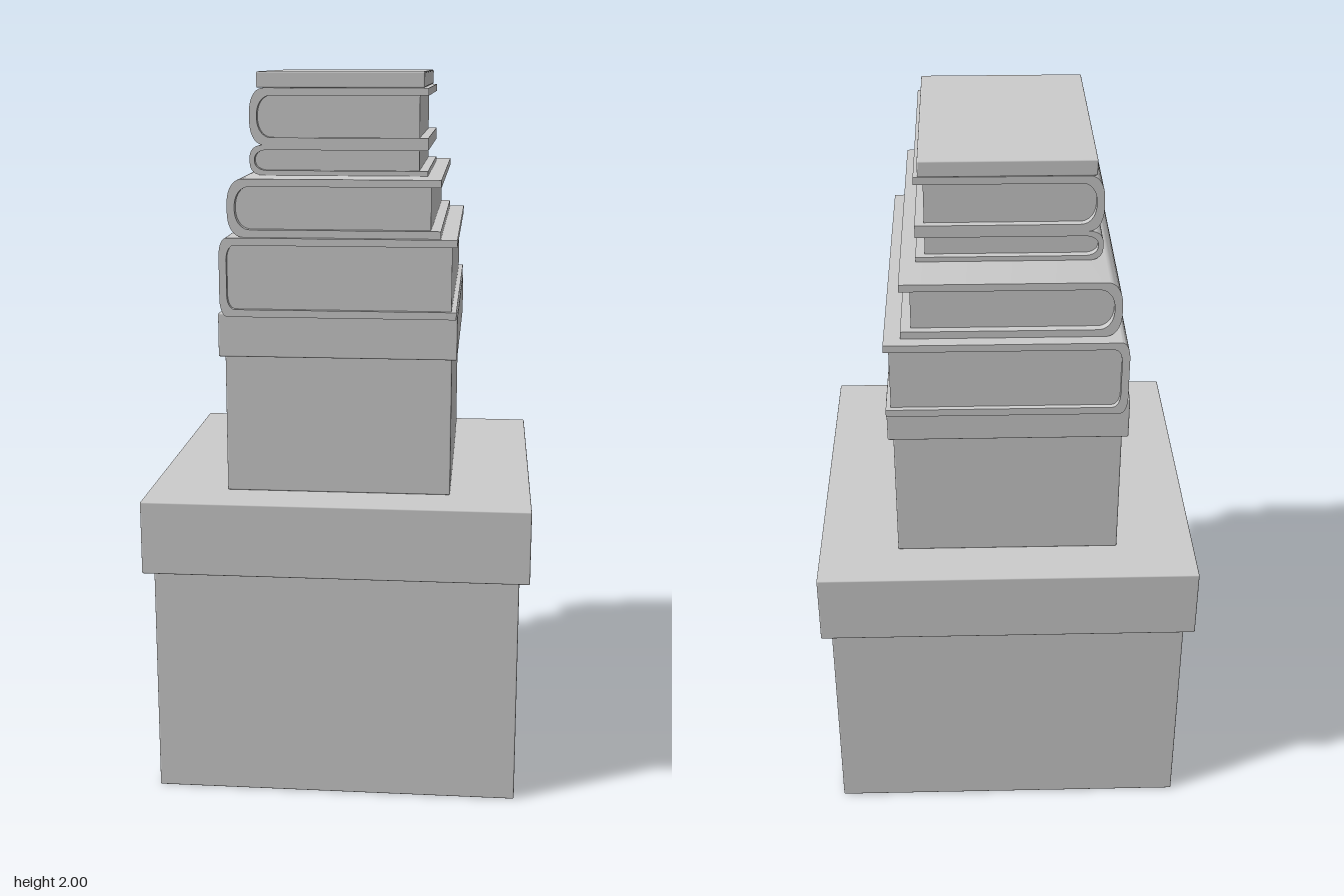
import * as THREE from 'three';
import { toCreasedNormals } from 'three/addons/utils/BufferGeometryUtils.js';
import { RoundedBoxGeometry } from 'three/addons/geometries/RoundedBoxGeometry.js';

const material = new THREE.MeshStandardMaterial({ color: 0xcccccc });

// Box given by its limits, with finely softened edges
function box(name, x0, x1, y0, y1, z0, z1) {
  const geometry = new RoundedBoxGeometry(x1 - x0, y1 - y0, z1 - z0, 2, 0.004);
  const mesh = new THREE.Mesh(geometry, material);
  mesh.position.set((x0 + x1) / 2, (y0 + y1) / 2, (z0 + z1) / 2);
  mesh.name = name;
  return mesh;
}

// Extrude a profile between two depths, keeping its corners sharp
function slab(name, shape, z0, z1) {
  const geometry = new THREE.ExtrudeGeometry(shape, { depth: z1 - z0, bevelEnabled: false, curveSegments: 10 });
  const mesh = new THREE.Mesh(toCreasedNormals(geometry, 0.6), material);
  mesh.position.z = z0;
  mesh.name = name;
  return mesh;
}

// Rounded spine from the top edge round to the bottom edge, or back again
function spine(path, x, y0, y1, rx, ry, k = 0.6) {
  const curve = (ax, ay, bx, by, cx, cy) => path.bezierCurveTo(ax, ay, bx, by, cx, cy);
  path.lineTo(x + rx, y0);
  curve(x + rx * (1 - k), y0, x, y0 + Math.sign(y1 - y0) * ry * (1 - k), x, y0 + Math.sign(y1 - y0) * ry);
  path.lineTo(x, y1 - Math.sign(y1 - y0) * ry);
  curve(x, y1 - Math.sign(y1 - y0) * ry * (1 - k), x + rx * (1 - k), y1, x + rx, y1);
}

// Hardback: a C-shaped cover wrapped round a recessed page block
function book({ name, x, y, z, t, rx, ry, pageX, inset }) {
  const group = new THREE.Group();
  group.name = name;
  const [x0, x1] = x, [y0, y1] = y, [z0, z1] = z;

  const cover = new THREE.Shape();
  cover.moveTo(x1, y1);
  spine(cover, x0, y1, y0, rx, ry);
  cover.lineTo(x1, y0);
  cover.lineTo(x1, y0 + t);
  spine(cover, x0 + t, y0 + t, y1 - t, rx, ry - t / 2);
  cover.lineTo(x1, y1 - t);
  cover.closePath();

  const pages = new THREE.Shape();
  pages.moveTo(pageX, y1 - t);
  spine(pages, x0 + t, y1 - t, y0 + t, rx, ry - t / 2);
  pages.lineTo(pageX, y0 + t);
  pages.closePath();

  group.add(slab('cover', cover, z0, z1), slab('pages', pages, z0 + inset, z1 - inset));
  return group;
}

export function createModel() {
  const model = new THREE.Group();
  model.name = 'boxesAndBooks';

  // Two lidded boxes
  model.add(
    box('largeBox', -0.505, 0.505, 0, 0.66, -0.505, 0.505),
    box('largeLid', -0.533, 0.533, 0.647, 0.853, -0.533, 0.533),
    box('smallBox', -0.313, 0.31, 0.853, 1.25, -0.39, 0.39),
    box('smallLid', -0.328, 0.324, 1.238, 1.358, -0.413, 0.411)
  );

  // Stack of books, spines on the right
  const books = [
    { name: 'thickBook', x: [-0.313, 0.321], y: [1.358, 1.57], z: [-0.486, 0.466], t: 0.02, rx: 0.022, ry: 0.05, pageX: 0.308, inset: 0.015 },
    { name: 'wideBook', x: [-0.292, 0.277], y: [1.57, 1.724], z: [-0.45, 0.447], t: 0.02, rx: 0.042, ry: 0.066, pageX: 0.25, inset: 0.022 },
    { name: 'thinBook', x: [-0.249, 0.236], y: [1.724, 1.805], z: [-0.319, 0.315], t: 0.013, rx: 0.035, ry: 0.032, pageX: 0.212, inset: 0.02 },
    { name: 'smallBook', x: [-0.249, 0.236], y: [1.805, 1.957], z: [-0.319, 0.315], t: 0.02, rx: 0.04, ry: 0.064, pageX: 0.212, inset: 0.02 }
  ];
  for (const spec of books) model.add(book(spec));

  // Plain booklet on top
  model.add(box('booklet', -0.229, 0.225, 1.957, 2, -0.319, 0.315));
  return model;
}
